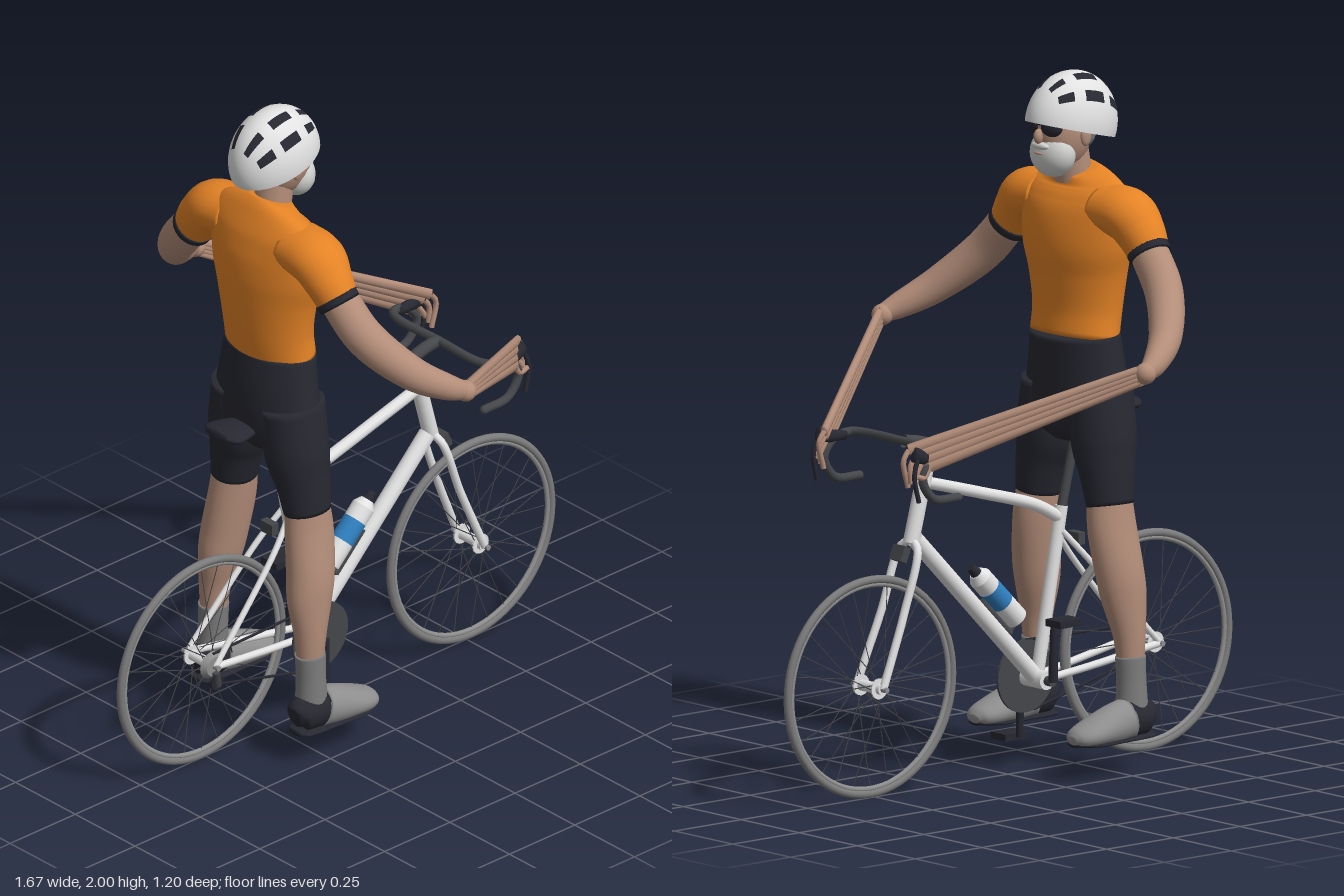
import * as THREE from 'three';

const V = (x, y, z) => new THREE.Vector3(x, y, z);
const mat = (name, color) => {
  const m = new THREE.MeshStandardMaterial({ color, side: THREE.DoubleSide });
  m.name = name;
  return m;
};

export function createModel() {
  const root = new THREE.Group();
  const M = {
    orange: mat('jersey orange', 0xe58326),
    black: mat('shorts black', 0x272831),
    skin: mat('skin', 0xb38d79),
    white: mat('frame white', 0xe2e2e2),
    grey: mat('shoe grey', 0x8e8e8e),
    tyre: mat('tyre grey', 0x7b7b7b),
    dark: mat('component dark grey', 0x45464a),
    blue: mat('bottle blue', 0x2f7fc0),
    beard: mat('beard white', 0xd2d2d0),
  };

  const add = (name, geo, m, parent = root) => {
    const mesh = new THREE.Mesh(geo, m);
    mesh.name = name;
    parent.add(mesh);
    return mesh;
  };
  const at = (mesh, x, y, z) => (mesh.position.set(x, y, z), mesh);
  const ball = (name, m, x, y, z, rx, ry = rx, rz = rx) => {
    const b = at(add(name, new THREE.SphereGeometry(1, 24, 16), m), x, y, z);
    b.scale.set(rx, ry, rz);
    return b;
  };
  const box = (name, m, x, y, z, w, h, d) => at(add(name, new THREE.BoxGeometry(w, h, d), m), x, y, z);
  const tube = (name, m, pts, r, seg = 24) =>
    add(name, new THREE.TubeGeometry(new THREE.CatmullRomCurve3(pts.map((p) => V(...p))), seg, r, 10), m);
  // straight rod between two points
  const rod = (name, m, p, q, r1, r2 = r1, sides = 14) => {
    const a = V(...p), b = V(...q), d = b.clone().sub(a);
    const mesh = add(name, new THREE.CylinderGeometry(r2, r1, d.length(), sides), m);
    mesh.position.copy(a).addScaledVector(d, 0.5);
    mesh.quaternion.setFromUnitVectors(V(0, 1, 0), d.normalize());
    return mesh;
  };

  // smooth skin over elliptical sections [x, y, z, radius along ref, radius across]
  const loft = (name, m, secs, ref, rule, n = 24, k = 24) => {
    const path = new THREE.CatmullRomCurve3(secs.map((s) => V(s[0], s[1], s[2])), false, 'catmullrom');
    const size = new THREE.CatmullRomCurve3(secs.map((s) => V(s[3], s[4], 0)), false, 'catmullrom');
    const pos = [], idx = [];
    for (let i = 0; i <= n; i++) {
      const p = path.getPoint(i / n), r = size.getPoint(i / n), t = path.getTangent(i / n);
      const a = ref.clone().addScaledVector(t, -ref.dot(t)).normalize(), b = t.clone().cross(a);
      for (let j = 0; j < k; j++) {
        const w = (j / k) * Math.PI * 2;
        const v = p.clone().addScaledVector(a, r.x * Math.cos(w)).addScaledVector(b, r.y * Math.sin(w));
        if (rule) rule(v);
        pos.push(v.x, v.y, v.z);
        if (i < n) {
          const c = i * k + j, d = i * k + ((j + 1) % k);
          idx.push(c, d, c + k, d, d + k, c + k);
        }
      }
    }
    const s = pos.length / 3, p0 = path.getPoint(0), p1 = path.getPoint(1);
    if (rule) { rule(p0); rule(p1); }
    pos.push(p0.x, p0.y, p0.z, p1.x, p1.y, p1.z);
    for (let j = 0; j < k; j++) idx.push(s, (j + 1) % k, j, s + 1, n * k + j, n * k + ((j + 1) % k));
    const g = new THREE.BufferGeometry();
    g.setAttribute('position', new THREE.Float32BufferAttribute(pos, 3));
    g.setIndex(idx);
    g.computeVertexNormals();
    return add(name, g, m);
  };
  const X = V(1, 0, 0), Y = V(0, 1, 0);
  const R = 0.32, BB = [-0.108, 0.262], WX = 0.5175;

  // wheels
  for (const [side, x] of [['rear', -WX], ['front', WX]]) {
    at(add(side + 'Tyre', new THREE.TorusGeometry(R - 0.012, 0.012, 10, 72), M.tyre), x, R, 0);
    const rim = at(add(side + 'Rim', new THREE.TorusGeometry(R - 0.026, 0.008, 8, 72), M.grey), x, R, 0);
    rim.scale.z = 0.9;
    rod(side + 'Hub', M.white, [x, R, -0.055], [x, R, 0.055], 0.016);
    rod(side + 'Axle', M.grey, [x, R, -0.075], [x, R, 0.075], 0.008);
    for (const s of [-1, 1]) rod(side + 'HubFlange', M.white, [x, R, s * 0.036], [x, R, s * 0.042], 0.03, 0.03, 20);
    for (let i = 0; i < 28; i++) {
      const a = (i / 28) * Math.PI * 2, h = a + (i % 4 < 2 ? 0.5 : -0.5), z = i % 2 ? 0.04 : -0.04;
      rod(side + 'Spoke', M.dark, [x + 0.026 * Math.cos(h), R + 0.026 * Math.sin(h), z],
        [x + 0.29 * Math.cos(a), R + 0.29 * Math.sin(a), 0], 0.0016, 0.0016, 4);
    }
  }

  // frame
  rod('headTube', M.white, [0.308, 0.925, 0], [0.364, 0.715, 0], 0.023);
  tube('topTube', M.white, [[-0.195, 0.715, 0], [-0.1, 0.765, 0], [0.1, 0.825, 0], [0.315, 0.885, 0]], 0.018);
  rod('downTube', M.white, [...BB, 0], [0.35, 0.725, 0], 0.025);
  rod('seatTube', M.white, [...BB, 0], [-0.2, 0.75, 0], 0.019);
  rod('seatPost', M.dark, [-0.2, 0.74, 0], [-0.265, 1.0, 0], 0.014);
  rod('bottomBracket', M.white, [...BB, -0.045], [...BB, 0.045], 0.027);
  loft('saddle', M.black, [[-0.46, 1.025, 0, 0.012, 0.045], [-0.43, 1.02, 0, 0.02, 0.072],
    [-0.36, 1.015, 0, 0.02, 0.055], [-0.28, 1.012, 0, 0.016, 0.025], [-0.19, 1.01, 0, 0.01, 0.015]], Y);
  for (const s of [-1, 1]) {
    tube('seatStay', M.white, [[-0.19, 0.68, s * 0.015], [-0.27, 0.59, s * 0.038], [-WX, R, s * 0.06]], 0.009);
    tube('chainStay', M.white, [[...BB, s * 0.025], [-0.25, 0.28, s * 0.04], [-WX, R, s * 0.06]], 0.011);
    tube('forkLeg', M.white, [[0.362, 0.725, 0], [0.372, 0.7, s * 0.038], [0.43, 0.53, s * 0.048],
      [0.475, 0.42, s * 0.053], [WX, R, s * 0.057]], 0.012, 32);
  }
  box('frontBrake', M.dark, 0.405, 0.69, 0, 0.025, 0.045, 0.05).rotation.z = 0.4;
  box('rearBrake', M.dark, -0.255, 0.65, 0, 0.025, 0.035, 0.05);

  // cranks, chain and gears
  rod('chainring', M.dark, [...BB, 0.046], [...BB, 0.054], 0.105, 0.105, 40);
  rod('crankAxle', M.dark, [...BB, -0.07], [...BB, 0.075], 0.014);
  for (const s of [-1, 1]) {
    const y = BB[1] - s * 0.18;
    rod('crankArm', M.black, [...BB, s * 0.07], [BB[0], y, s * 0.075], 0.014, 0.01);
    box('pedal', M.black, BB[0], y, s * 0.118, 0.085, 0.02, 0.065);
  }
  rod('cassette', M.grey, [-WX, R, 0.042], [-WX, R, 0.058], 0.042, 0.03, 24);
  rod('chainTop', M.black, [-WX, 0.358, 0.05], [-0.11, 0.366, 0.05], 0.004);
  rod('chainBottom', M.black, [-0.505, 0.255, 0.05], [-0.14, 0.162, 0.05], 0.004);
  rod('derailleur', M.dark, [-WX, 0.305, 0.062], [-0.505, 0.255, 0.055], 0.012);
  rod('derailleurWheel', M.black, [-0.505, 0.262, 0.046], [-0.505, 0.262, 0.056], 0.022);

  // bottle, placed along the down tube
  const bottle = (t) => [-0.03 + t * 0.71, 0.447 + t * 0.704, 0];
  for (const [name, m, a, b, r1, r2] of [
    ['bottleBase', M.white, 0, 0.075, 0.034, 0.034], ['bottleBand', M.blue, 0.075, 0.145, 0.0345, 0.0345],
    ['bottleTop', M.white, 0.145, 0.19, 0.034, 0.034], ['bottleShoulder', M.white, 0.19, 0.212, 0.034, 0.02],
    ['bottleCap', M.black, 0.212, 0.24, 0.017, 0.012]]) rod(name, m, bottle(a), bottle(b), r1, r2, 24);
  rod('bottleCage', M.dark, [-0.005, 0.405, 0], [0.1, 0.51, 0], 0.012);
  rod('bottleCageFoot', M.dark, [0.0, 0.405, 0], [-0.035, 0.44, 0], 0.008);

  // handlebar
  tube('stem', M.dark, [[0.31, 0.915, 0], [0.292, 0.985, 0], [0.325, 1.0, 0], [0.39, 1.012, 0]], 0.019);
  for (const s of [-1, 1]) {
    tube('handlebar', M.dark, [[0.39, 1.012, 0], [0.39, 1.012, s * 0.17], [0.41, 1.012, s * 0.208],
      [0.465, 1.0, s * 0.213], [0.505, 0.95, s * 0.213], [0.465, 0.888, s * 0.213], [0.373, 0.88, s * 0.213]], 0.013, 48);
    ball('barEnd', M.dark, 0.373, 0.88, s * 0.213, 0.013);
    loft('brakeHood', M.black, [[0.43, 1.005, s * 0.21, 0.014, 0.014], [0.49, 1.008, s * 0.21, 0.02, 0.016],
      [0.53, 1.022, s * 0.205, 0.022, 0.015]], Y, null, 8, 12);
    tube('brakeLever', M.black, [[0.525, 1.01, s * 0.215], [0.54, 0.96, s * 0.218], [0.525, 0.885, s * 0.22]], 0.007);
  }

  // torso and pelvis
  const body = (list) => list.map(([y, x, rx, rz]) => [x, y, 0, rx, rz]);
  loft('jersey', M.orange, body([[1.24, -0.25, 0.1, 0.155], [1.32, -0.26, 0.105, 0.153], [1.42, -0.262, 0.115, 0.168],
    [1.5, -0.26, 0.122, 0.19], [1.58, -0.262, 0.115, 0.2], [1.64, -0.265, 0.096, 0.208], [1.685, -0.262, 0.072, 0.17],
    [1.72, -0.25, 0.055, 0.07]]), X, null, 42, 40);
  loft('shortsHips', M.black, body([[1.25, -0.251, 0.102, 0.157], [1.15, -0.258, 0.107, 0.172], [1.05, -0.26, 0.107, 0.192],
    [0.98, -0.26, 0.095, 0.175], [0.94, -0.26, 0.06, 0.08]]), X, null, 30, 40);
  rod('neck', M.skin, [-0.245, 1.69, 0], [-0.225, 1.82, 0], 0.055, 0.052, 24);

  for (const s of [-1, 1]) {
    const side = (list) => list.map(([x, y, z, a, b]) => [x, y, s * z, a, b]);
    // legs
    loft('shortsLeg', M.black, side([[-0.26, 1.1, 0.1, 0.1, 0.085], [-0.257, 0.95, 0.117, 0.096, 0.092],
      [-0.252, 0.86, 0.137, 0.082, 0.077], [-0.25, 0.768, 0.153, 0.071, 0.064]]), X);
    loft('leg', M.skin, side([[-0.25, 0.79, 0.15, 0.068, 0.06], [-0.25, 0.7, 0.161, 0.077, 0.06],
      [-0.262, 0.58, 0.179, 0.075, 0.062], [-0.273, 0.5, 0.187, 0.07, 0.057], [-0.281, 0.4, 0.199, 0.05, 0.044],
      [-0.284, 0.32, 0.202, 0.041, 0.037]]), X);
    loft('sock', M.tyre, side([[-0.284, 0.335, 0.202, 0.046, 0.042], [-0.284, 0.26, 0.205, 0.044, 0.042],
      [-0.284, 0.17, 0.208, 0.05, 0.046]]), X);
    // shoes, flattened underneath
    const flat = (v) => { v.y = Math.max(v.y, 0.107); };
    loft('shoeHeel', M.black, side([[-0.35, 0.15, 0.21, 0.03, 0.025], [-0.325, 0.158, 0.21, 0.052, 0.046],
      [-0.25, 0.16, 0.212, 0.06, 0.053]]), Y, flat);
    loft('shoeFront', M.grey, side([[-0.26, 0.16, 0.212, 0.06, 0.053], [-0.2, 0.148, 0.213, 0.056, 0.057],
      [-0.12, 0.132, 0.214, 0.04, 0.06], [-0.075, 0.124, 0.213, 0.028, 0.046], [-0.055, 0.12, 0.212, 0.012, 0.02]]), Y, flat);
    loft('sole', M.black, side([[-0.35, 0.106, 0.21, 0.008, 0.025], [-0.32, 0.106, 0.21, 0.009, 0.047],
      [-0.2, 0.106, 0.213, 0.009, 0.055], [-0.12, 0.106, 0.214, 0.009, 0.058], [-0.06, 0.108, 0.213, 0.007, 0.025]]), Y);

    // arms
    loft('sleeve', M.orange, side([[-0.264, 1.62, 0.12, 0.07, 0.085], [-0.267, 1.61, 0.21, 0.076, 0.085],
      [-0.27, 1.565, 0.262, 0.07, 0.072], [-0.268, 1.51, 0.302, 0.062, 0.058]]), Y);
    loft('sleeveCuff', M.black, side([[-0.269, 1.523, 0.293, 0.065, 0.062], [-0.267, 1.503, 0.309, 0.0635, 0.06]]), Y, null, 4);
    loft('upperArm', M.skin, side([[-0.268, 1.53, 0.29, 0.058, 0.055], [-0.245, 1.42, 0.39, 0.058, 0.055],
      [-0.165, 1.32, 0.49, 0.05, 0.048], [-0.075, 1.262, 0.55, 0.038, 0.036], [-0.015, 1.238, 0.572, 0.024, 0.022]]), Y);
    ball('elbow', M.skin, -0.022, 1.238, s * 0.567, 0.031);
    // drawn-out forearm strands running to the bar
    for (let i = 0; i < 4; i++) {
      const t = i / 3, ex = 0.53 - 0.045 * t, ey = 1.032 - 0.048 * t, ez = 0.182 + 0.038 * t;
      loft('forearm', M.skin, side([[-0.02, 1.256 - 0.036 * t, 0.57, 0.012, 0.013],
        [ex, ey, ez, 0.017, 0.011]]), Y, null, 4, 8);
      tube('finger', M.skin, [[ex, ey, s * ez], [ex + 0.02, ey - 0.03, s * ez], [0.533, 0.925 + 0.012 * i, s * ez]], 0.008, 8);
    }
  }

  // head
  ball('head', M.skin, -0.205, 1.835, 0, 0.088, 0.115, 0.078);
  ball('nose', M.skin, -0.115, 1.825, 0, 0.016, 0.022, 0.013);
  ball('beard', M.beard, -0.168, 1.772, 0, 0.057, 0.07, 0.076);
  ball('moustache', M.beard, -0.122, 1.797, 0, 0.015, 0.012, 0.036);
  ball('mouth', M.skin, -0.113, 1.777, 0, 0.006, 0.004, 0.018);
  ball('hair', M.tyre, -0.235, 1.825, 0, 0.068, 0.06, 0.076);
  for (const s of [-1, 1]) {
    ball('ear', M.skin, -0.222, 1.825, s * 0.08, 0.018, 0.03, 0.01);
    ball('sunglassLens', M.black, -0.13, 1.853, s * 0.039, 0.014, 0.026, 0.034).rotation.y = s * -0.35;
    rod('sunglassArm', M.black, [-0.14, 1.86, s * 0.068], [-0.225, 1.855, s * 0.084], 0.005);
  }
  rod('sunglassBridge', M.black, [-0.12, 1.862, -0.02], [-0.12, 1.862, 0.02], 0.006);

  // helmet and vents
  const helmet = new THREE.Group();
  helmet.name = 'helmet';
  helmet.position.set(-0.237, 1.85, 0);
  helmet.rotation.z = 0.25;
  root.add(helmet);
  const shell = (g, k) => g.scale(0.148 * k, 0.15 * k, 0.107 * k);
  add('helmetShell', shell(new THREE.SphereGeometry(1, 40, 24, 0, Math.PI * 2, 0, Math.PI * 0.54), 1), M.white, helmet);
  for (const s of [-1, 1])
    for (const [phi, start, len] of [[0.4, 0.6, 0.35], [0.4, 1.2, 0.5], [0.4, 1.95, 0.5],
      [0.95, 0.7, 0.35], [0.95, 1.3, 0.45], [0.95, 1.95, 0.4]]) {
      const g = new THREE.SphereGeometry(1, 6, 10, s * phi - 0.12, 0.24, start, len).rotateZ(-Math.PI / 2);
      add('helmetVent', shell(g, 1.012), M.black, helmet);
    }
  return root;
}
